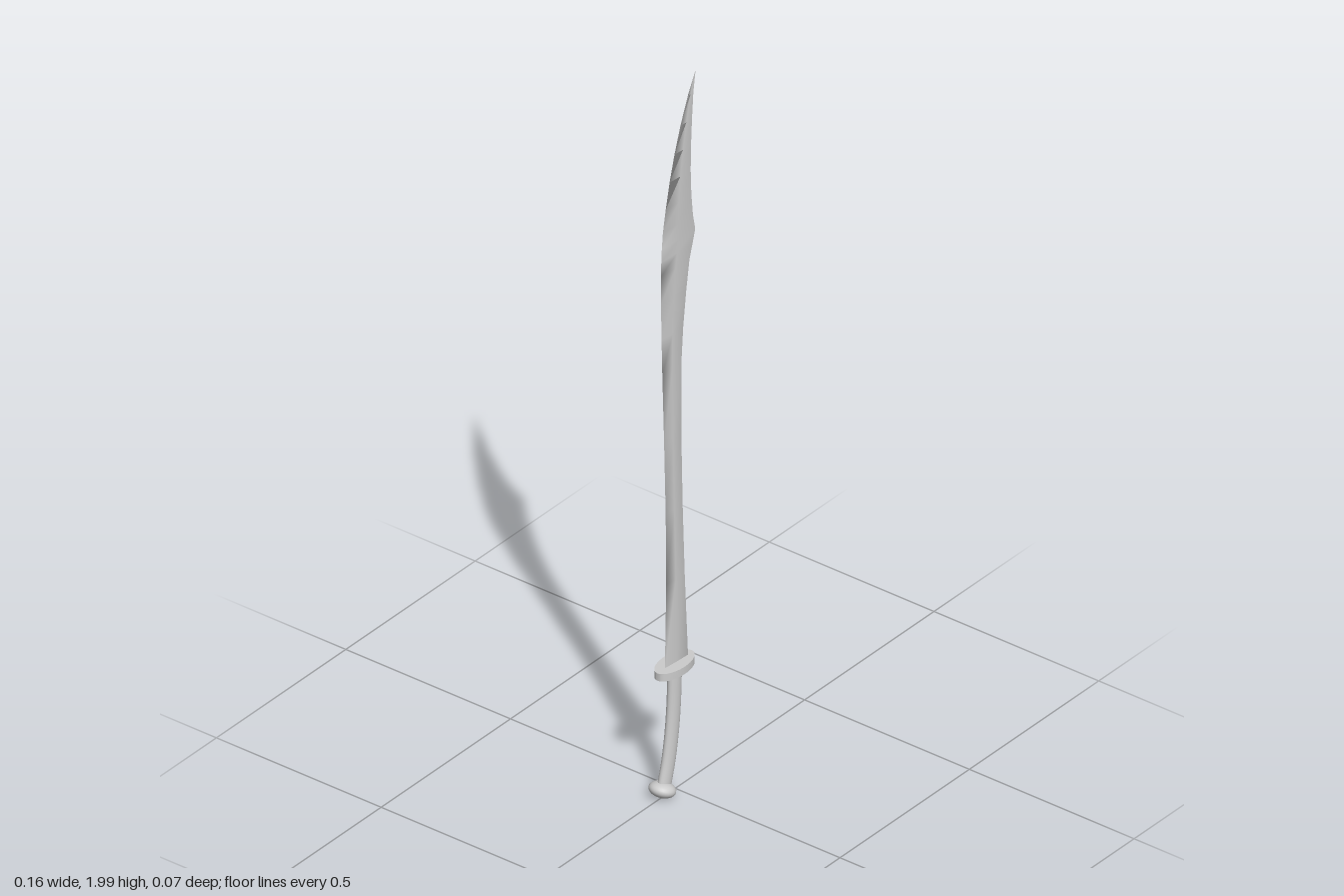
import * as THREE from 'three';
import { toCreasedNormals } from 'three/addons/utils/BufferGeometryUtils.js';

const material = new THREE.MeshStandardMaterial({ color: 0xcccccc });

function addMesh(group, name, geometry) {
  const mesh = new THREE.Mesh(geometry, material);
  mesh.name = name;
  group.add(mesh);
  return mesh;
}

// Joins equal-length closed rings of points into one smooth skin
function skin(rings) {
  const n = rings[0].length, index = [];
  for (let i = 0; i < rings.length - 1; i++) {
    for (let j = 0; j < n; j++) {
      const a = i * n + j, b = i * n + (j + 1) % n;
      index.push(a, b, b + n, a, b + n, a + n);
    }
  }
  const geometry = new THREE.BufferGeometry();
  geometry.setAttribute('position', new THREE.Float32BufferAttribute(rings.flat(2), 3));
  geometry.setIndex(index);
  geometry.computeVertexNormals();
  return geometry;
}

// Blade: a wedge section, sharp on the -x edge and blunt on the +x spine
function bladeGeometry() {
  // height, cutting edge x, spine x, half thickness
  const sections = [
    [0.36, -0.04, 0.042, 0.006], [0.6, -0.035, 0.029, 0.006],
    [0.8, -0.037, 0.021, 0.006], [1.0, -0.043, 0.016, 0.006],
    [1.2, -0.05, 0.016, 0.006], [1.3, -0.053, 0.023, 0.006],
    [1.4, -0.055, 0.035, 0.006], [1.48, -0.055, 0.048, 0.0055],
    [1.52, -0.054, 0.06, 0.0055], [1.555, -0.052, 0.071, 0.005],
    [1.6, -0.048, 0.062, 0.005], [1.66, -0.037, 0.056, 0.005],
    [1.73, -0.022, 0.054, 0.0045], [1.8, -0.003, 0.056, 0.004],
    [1.87, 0.02, 0.061, 0.003], [1.94, 0.048, 0.068, 0.0015],
    [2.0, 0.079, 0.079, 0],
  ];
  return skin(sections.map(([y, edge, spine, t]) => {
    const at = (f, z) => [edge + (spine - edge) * f, y, z];
    return [at(0, 0), at(0.5, t * 0.65), at(1, t), at(1, -t), at(0.5, -t * 0.65)];
  }));
}

// Grip: an oval section swept down a gentle curve
function gripGeometry(curve) {
  const rings = [];
  for (let i = 0; i <= 16; i++) {
    const p = curve.getPoint(i / 16), d = curve.getTangent(i / 16);
    const ring = [];
    for (let j = 0; j < 20; j++) {
      const a = -j / 20 * Math.PI * 2;
      const r = Math.cos(a) * 0.022;
      ring.push([p.x - d.y * r, p.y + d.x * r, Math.sin(a) * 0.014]);
    }
    rings.push(ring.reverse());
  }
  return skin(rings);
}

export function createModel() {
  const sword = new THREE.Group();
  sword.name = 'sword';

  addMesh(sword, 'blade', bladeGeometry());

  // Oval guard plate
  const plate = new THREE.CylinderGeometry(1, 1, 0.021, 40);
  plate.scale(0.066, 1, 0.033);
  addMesh(sword, 'guard', toCreasedNormals(plate, 0.6)).position.set(-0.003, 0.355, 0);

  const curve = new THREE.CatmullRomCurve3([
    [-0.043, 0.035], [-0.026, 0.1], [-0.014, 0.17], [-0.006, 0.25], [-0.002, 0.35],
  ].map(([x, y]) => new THREE.Vector3(x, y, 0)));
  addMesh(sword, 'grip', gripGeometry(curve));

  // Flattened round pommel, tilted to follow the end of the grip
  const pommel = new THREE.SphereGeometry(1, 28, 16);
  pommel.scale(0.034, 0.02, 0.034);
  const knob = addMesh(sword, 'pommel', pommel);
  knob.position.set(-0.05, 0.028, 0);
  knob.rotation.z = -0.36;

  return sword;
}
